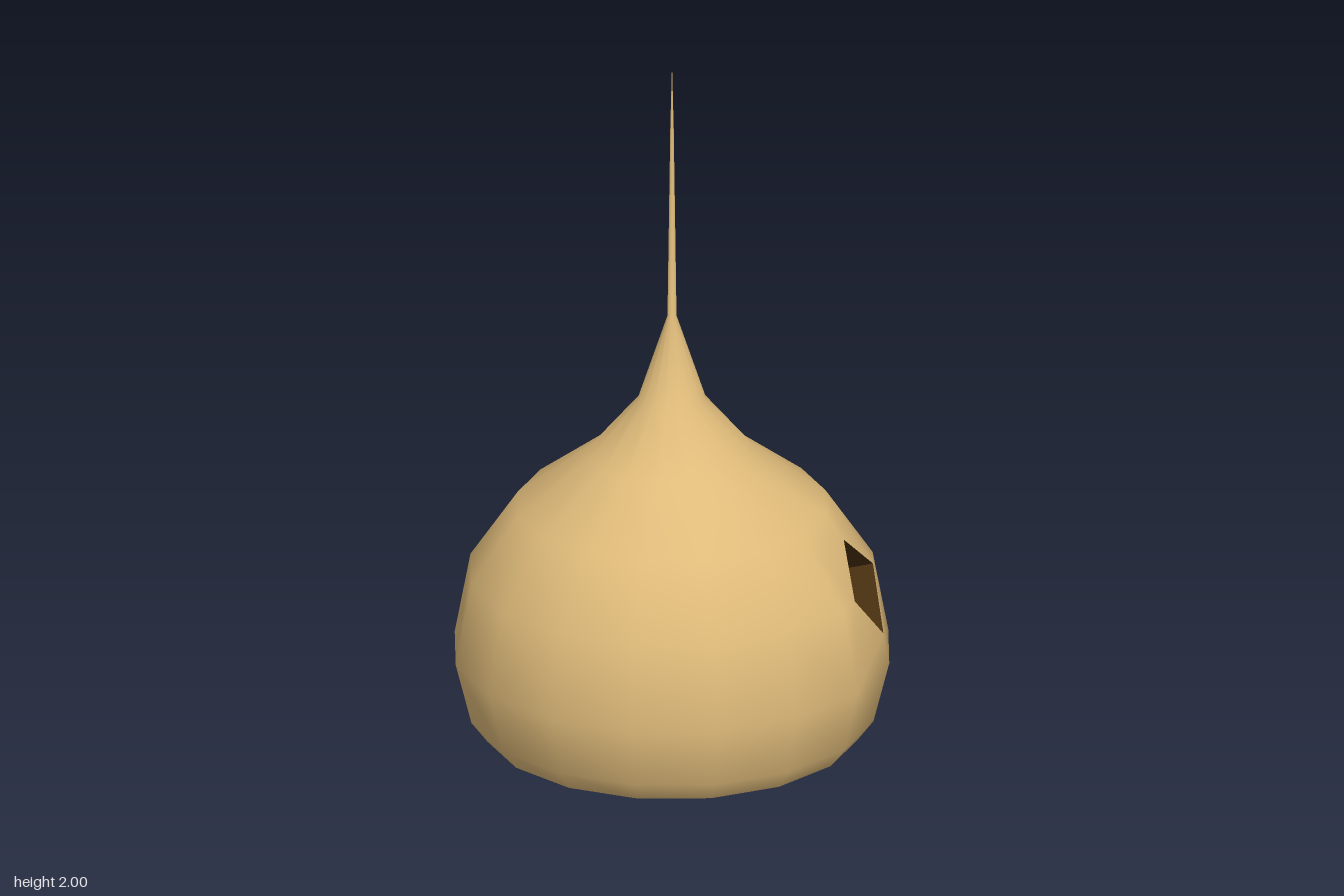
import * as THREE from 'three';
import { mergeVertices } from 'three/addons/utils/BufferGeometryUtils.js';

const SIDES = 16;
// Body profile from the open rim up to the tip: [radius, height]
const PROFILE = [
  [0.53, 0], [0.575, 0.06], [0.62, 0.24], [0.575, 0.48], [0.44, 0.68],
  [0.235, 0.835], [0.095, 1.0], [0.013, 1.25], [0.005, 1.82], [0.0005, 2],
];
// The doorway is cut around this ring and side of the body
const DOOR_RING = 3, DOOR_SIDE = 1, DOOR_CUT = 0.63;

function bodyPoint(ring, side) {
  const a = (side / SIDES) * Math.PI * 2;
  const [r, y] = PROFILE[ring];
  return new THREE.Vector3(r * Math.cos(a), y, r * Math.sin(a));
}

// Point part way along a body edge leaving the doorway's centre
function cutPoint(ring, side) {
  return bodyPoint(DOOR_RING, DOOR_SIDE).lerp(bodyPoint(ring, side), DOOR_CUT);
}

function geometryFromPolygons(polygons) {
  const positions = [];
  for (const p of polygons) {
    for (let i = 1; i < p.length - 1; i++) {
      for (const v of [p[0], p[i], p[i + 1]]) positions.push(v.x, v.y, v.z);
    }
  }
  const geometry = new THREE.BufferGeometry();
  geometry.setAttribute('position', new THREE.Float32BufferAttribute(positions, 3));
  return geometry;
}

// Turned body, with the corner of each face that meets the doorway trimmed off
function bodyGeometry() {
  const polygons = [];
  for (let i = 0; i < PROFILE.length - 1; i++) {
    for (let j = 0; j < SIDES; j++) {
      const corners = [[i, j], [i + 1, j], [i + 1, j + 1], [i, j + 1]];
      const k = corners.findIndex(([r, s]) => r === DOOR_RING && s === DOOR_SIDE);
      if (k < 0) {
        polygons.push(corners.map((c) => bodyPoint(...c)));
        continue;
      }
      const opposite = corners[(k + 2) % 4];
      const before = corners[(k + 3) % 4];
      const after = corners[(k + 1) % 4];
      polygons.push([
        bodyPoint(...opposite), bodyPoint(...before),
        cutPoint(...before), cutPoint(...after), bodyPoint(...after),
      ]);
    }
  }
  const geometry = mergeVertices(geometryFromPolygons(polygons), 1e-5);
  geometry.computeVertexNormals();
  return geometry;
}

// Straight four-sided tunnel running inwards from the doorway, closed at its end
function tunnelGeometry() {
  const mouth = [
    cutPoint(DOOR_RING + 1, DOOR_SIDE), cutPoint(DOOR_RING, DOOR_SIDE + 1),
    cutPoint(DOOR_RING - 1, DOOR_SIDE), cutPoint(DOOR_RING, DOOR_SIDE - 1),
  ];
  const inward = new THREE.Vector3(-0.51, -0.15, -0.211);
  const end = mouth.map((p) => p.clone().add(inward));
  const polygons = [end];
  for (let i = 0; i < 4; i++) {
    const n = (i + 1) % 4;
    polygons.push([mouth[i], mouth[n], end[n], end[i]]);
  }
  const geometry = geometryFromPolygons(polygons);
  geometry.computeVertexNormals();
  return geometry;
}

export function createModel() {
  const sand = new THREE.MeshStandardMaterial({ color: 0xdfbb7a, side: THREE.DoubleSide });
  sand.name = 'sand';
  const darkBrown = new THREE.MeshStandardMaterial({ color: 0x48300f, side: THREE.DoubleSide });
  darkBrown.name = 'darkBrown';

  const model = new THREE.Group();
  model.name = 'hangingNest';

  const body = new THREE.Mesh(bodyGeometry(), sand);
  body.name = 'body';
  const tunnel = new THREE.Mesh(tunnelGeometry(), darkBrown);
  tunnel.name = 'entranceTunnel';

  model.add(body, tunnel);
  return model;
}
